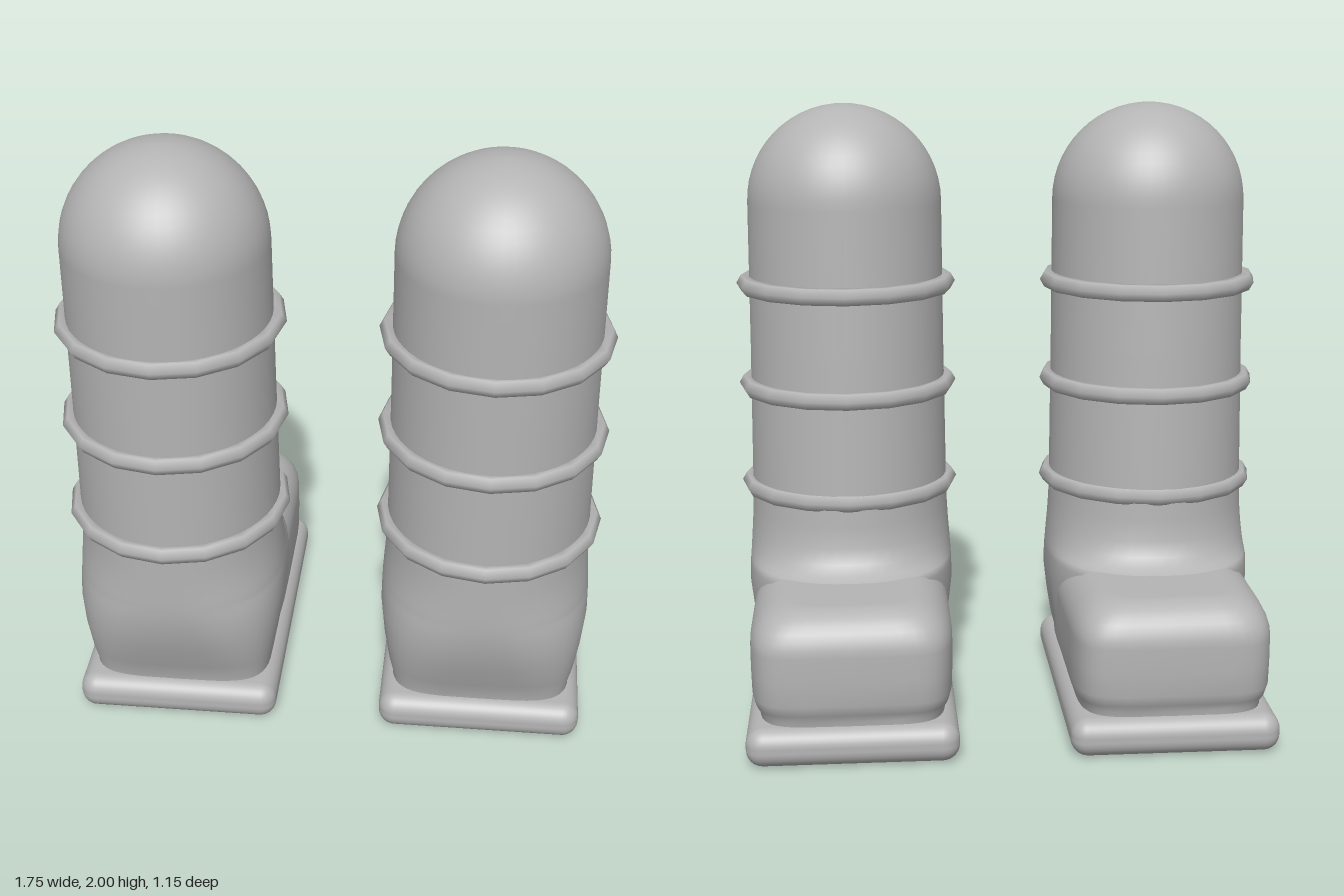
import * as THREE from 'three';
import { RoundedBoxGeometry } from 'three/addons/geometries/RoundedBoxGeometry.js';

const SEGMENTS = 48;

// Lofts superellipse rings; each section is [y, halfWidth, zMin, zMid, zMax, exponent]
function loft(sections) {
  const positions = [], index = [];
  for (const [y, w, z0, zc, z1, n] of sections) {
    for (let i = 0; i < SEGMENTS; i++) {
      const a = (i / SEGMENTS) * Math.PI * 2;
      const c = Math.cos(a), s = Math.sin(a);
      const bend = (v) => Math.sign(v) * Math.abs(v) ** (2 / n);
      positions.push(w * bend(c), y, zc + (s > 0 ? z1 - zc : zc - z0) * bend(s));
    }
  }
  for (let j = 0; j < sections.length - 1; j++) {
    for (let i = 0; i < SEGMENTS; i++) {
      const k = (i + 1) % SEGMENTS;
      const a = j * SEGMENTS + i, b = j * SEGMENTS + k;
      const c = a + SEGMENTS, d = b + SEGMENTS;
      index.push(a, c, b, b, c, d);
    }
  }
  const geometry = new THREE.BufferGeometry();
  geometry.setAttribute('position', new THREE.Float32BufferAttribute(positions, 3));
  geometry.setIndex(index);
  geometry.computeVertexNormals();
  return geometry;
}

// Heel, ankle flare, tube and domed top
function shaftGeometry() {
  const sections = [
    [0.10, 0.30, -0.10, 0.19, 0.43, 4.5],
    [0.14, 0.30, -0.10, 0.19, 0.432, 4.5],
    [0.20, 0.315, -0.12, 0.19, 0.455, 4],
    [0.30, 0.332, -0.14, 0.19, 0.495, 3.3],
    [0.40, 0.345, -0.20, 0.19, 0.523, 2.7],
    [0.47, 0.344, -0.26, 0.19, 0.53, 2.4],
    [0.488, 0.343, -0.23, 0.19, 0.531, 2.3],
    [0.50, 0.342, -0.195, 0.19, 0.532, 2.3],
    [0.53, 0.34, -0.165, 0.195, 0.533, 2.2],
    [0.58, 0.336, -0.148, 0.195, 0.534, 2.1],
    [0.65, 0.332, -0.142, 0.197, 0.535, 2],
    [0.75, 0.33, -0.138, 0.2, 0.536, 2],
    [1.20, 0.325, -0.118, 0.212, 0.541, 2],
  ];
  for (let i = 0; i <= 14; i++) {
    const a = (i / 14) * Math.PI / 2;
    const r = 0.322 * Math.cos(a);
    sections.push([1.678 + 0.322 * Math.sin(a), r, 0.223 - r, 0.223, 0.223 + r, 2]);
  }
  return loft(sections);
}

// Boxy toe with a rolled top edge
function toeGeometry() {
  const sections = [
    [0.10, 0.295, -0.53, -0.12, 0.22, 6],
    [0.14, 0.30, -0.53, -0.12, 0.22, 6],
    [0.165, 0.312, -0.545, -0.12, 0.22, 6],
    [0.20, 0.32, -0.558, -0.12, 0.22, 6],
    [0.28, 0.322, -0.56, -0.12, 0.22, 6],
  ];
  const roll = 0.13;
  for (let i = 0; i <= 8; i++) {
    const a = (i / 8) * Math.PI / 2;
    const inset = roll * (1 - Math.cos(a));
    sections.push([0.358 + roll * Math.sin(a), 0.322 - inset, -0.56 + inset, -0.12, 0.22, 6]);
  }
  sections.push([0.488, 0, -0.12, -0.12, -0.12, 6]);
  return loft(sections);
}

export function createModel() {
  const model = new THREE.Group();
  model.name = 'boots';
  const grey = new THREE.MeshStandardMaterial({ color: 0xb4b4b4 });
  grey.name = 'grey';

  const shaft = shaftGeometry();
  const toe = toeGeometry();
  const sole = new RoundedBoxGeometry(0.67, 0.125, 1.055, 4, 0.055);
  const band = new THREE.TorusGeometry(0.336, 0.03, 6, 16).rotateX(Math.PI / 2);

  for (const [side, x] of [['left', 0.51], ['right', -0.51]]) {
    const boot = new THREE.Group();
    boot.name = side + 'Boot';
    boot.position.x = x;
    const add = (name, geometry, y = 0, z = 0) => {
      const mesh = new THREE.Mesh(geometry, grey);
      mesh.name = name;
      mesh.position.set(0, y, z);
      boot.add(mesh);
    };
    add('shaft', shaft);
    add('toe', toe);
    add('sole', sole, 0.0625, -0.048);
    // Bands around the tube
    [0.73, 1.07, 1.41].forEach((y, i) => add('band' + (i + 1), band, y, 0.208));
    model.add(boot);
  }
  return model;
}
